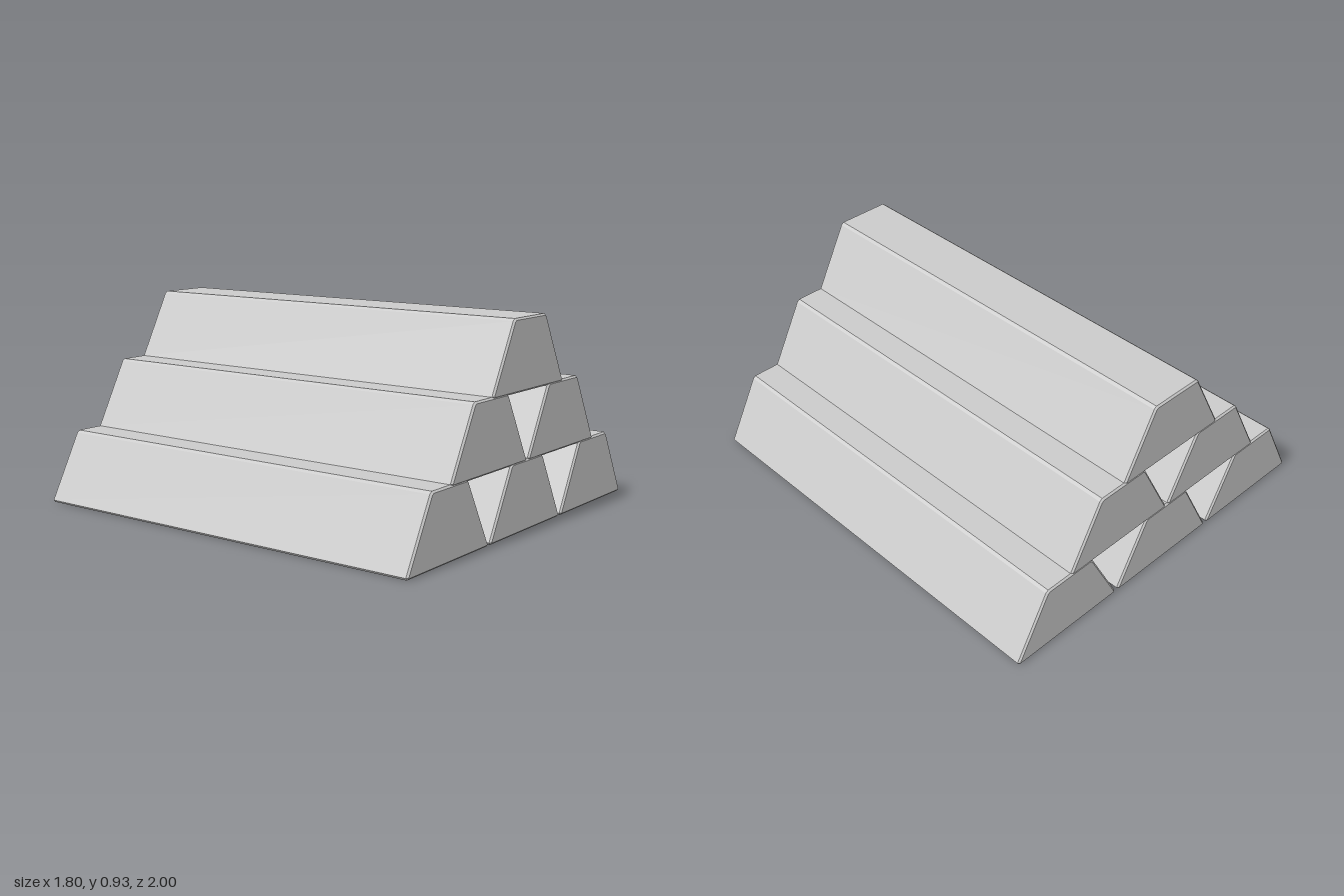
import * as THREE from 'three';

const LENGTH = 2, BEVEL = 0.008;
const PITCH = 0.605, LAYER = 0.305;

// Trapezoid bar with small chamfers along every edge
function barGeometry() {
  const half = [[0.287, 0], [0.295, 0.01], [0.137, 0.305], [0.124, 0.315]];
  const left = half.map(([x, y]) => [-x, y]).reverse();
  const shape = new THREE.Shape([...half, ...left].map(([x, y]) => new THREE.Vector2(x, y)));
  const geometry = new THREE.ExtrudeGeometry(shape, {
    depth: LENGTH - 2 * BEVEL,
    bevelEnabled: true,
    bevelThickness: BEVEL,
    bevelSize: BEVEL,
    bevelOffset: -BEVEL,
    bevelSegments: 1,
  });
  geometry.translate(0, 0, BEVEL - LENGTH / 2);
  return geometry;
}

export function createModel() {
  const model = new THREE.Group();
  model.name = 'barStack';
  const geometry = barGeometry();
  const material = new THREE.MeshStandardMaterial({ color: 0xcccccc, flatShading: true });

  // Pyramid of three, two and one bars
  for (let row = 0; row < 3; row++) {
    const count = 3 - row;
    for (let i = 0; i < count; i++) {
      const bar = new THREE.Mesh(geometry, material);
      bar.name = `barRow${row + 1}Number${i + 1}`;
      bar.position.set((i - (count - 1) / 2) * PITCH, row * LAYER, 0);
      model.add(bar);
    }
  }
  return model;
}
